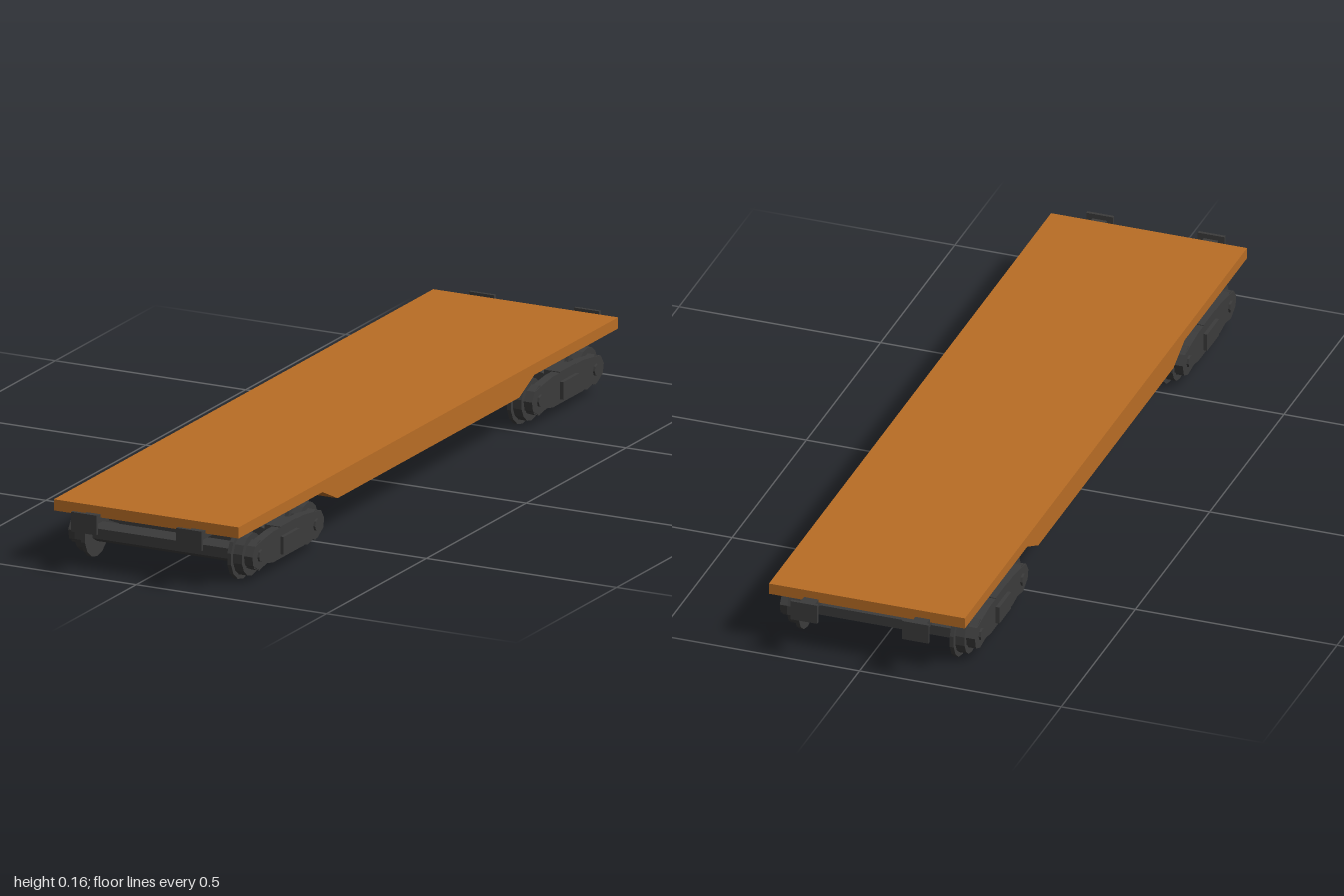
import * as THREE from 'three';

const wood = new THREE.MeshStandardMaterial({ color: 0xb96d25, side: THREE.DoubleSide });
wood.name = 'brownDeck';
const iron = new THREE.MeshStandardMaterial({ color: 0x3c3c3c, flatShading: true });
iron.name = 'darkIron';

function add(parent, name, geometry, material, x = 0, y = 0, z = 0) {
  const mesh = new THREE.Mesh(geometry, material);
  mesh.name = name;
  mesh.position.set(x, y, z);
  parent.add(mesh);
  return mesh;
}

const box = (w, h, d) => new THREE.BoxGeometry(w, h, d);

// Cylinder lying along x, with a corner at the top
const roller = (radius, length, sides) =>
  new THREE.CylinderGeometry(radius, radius, length, sides).rotateZ(Math.PI / 2).rotateX(Math.PI / 2);

// Outline extruded to a depth centred on zero
function slab(points, depth) {
  const shape = new THREE.Shape(points.map(([a, b]) => new THREE.Vector2(a, b)));
  return new THREE.ExtrudeGeometry(shape, { depth, bevelEnabled: false }).translate(0, 0, -depth / 2);
}

// Deck: solid ends, with a hollow, open-bottomed middle between the bogies
function createDeck() {
  const deck = new THREE.Group();
  deck.name = 'deck';
  add(deck, 'deckBoard', box(0.486, 0.004, 1.9), wood, 0, 0.158);
  const skirt = slab([
    [-0.53, 0.156], [-0.53, 0.133], [-0.455, 0.098], [0.455, 0.098], [0.53, 0.133], [0.53, 0.156],
  ], 0.003).rotateY(Math.PI / 2);
  const plate = slab([[0.455, 0.098], [0.53, 0.133], [0.526, 0.135], [0.451, 0.1]], 0.48).rotateY(-Math.PI / 2);
  for (const s of [-1, 1]) {
    add(deck, 'sideSkirt', skirt, wood, s * 0.2415);
    add(deck, 'deckEnd', box(0.486, 0.023, 0.42), wood, 0, 0.1445, s * 0.74);
    // Sloping plate closes each end of the skirts
    add(deck, 'slopedEndPlate', plate, wood).rotation.y = s < 0 ? Math.PI : 0;
  }
  return deck;
}

// Square-headed buffer on a short shank
function createBuffer(x, s) {
  const buffer = new THREE.Group();
  buffer.name = 'buffer';
  add(buffer, 'bufferHead', box(0.066, 0.048, 0.008), iron, x, 0.129, s * 0.996);
  add(buffer, 'bufferShank', box(0.036, 0.02, 0.095), iron, x, 0.131, s * 0.945);
  return buffer;
}

function createBogie(z) {
  const bogie = new THREE.Group();
  bogie.name = 'bogie';
  bogie.position.z = z;

  // Tapered cross beam
  add(bogie, 'bolster', slab([
    [-0.225, 0.06], [-0.1, 0.042], [0.1, 0.042], [0.225, 0.06],
    [0.225, 0.088], [0.1, 0.122], [-0.1, 0.122], [-0.225, 0.088],
  ], 0.08), iron);

  // Wheelsets
  for (const a of [-0.14, 0.14]) {
    add(bogie, 'axle', roller(0.025, 0.39, 6), iron, 0, 0.062, a);
    for (const s of [-1, 1]) {
      add(bogie, 'wheelFlange', roller(0.062, 0.01, 14), iron, s * 0.192, 0.062, a);
      add(bogie, 'wheelTread', roller(0.051, 0.023, 14), iron, s * 0.2085, 0.062, a);
    }
  }

  // Side frames with rounded axle ends
  const frame = slab([
    [-0.175, 0.045], [-0.145, 0.028], [-0.105, 0.034], [-0.075, 0.028], [0.075, 0.028], [0.105, 0.034],
    [0.145, 0.028], [0.175, 0.045], [0.18, 0.068], [0.165, 0.09], [0.13, 0.096], [0.075, 0.103],
    [-0.075, 0.103], [-0.13, 0.096], [-0.165, 0.09], [-0.18, 0.068],
  ], 0.022).rotateY(Math.PI / 2);
  for (const s of [-1, 1]) {
    add(bogie, 'sideFrame', frame, iron, s * 0.231);
    add(bogie, 'springPlate', box(0.01, 0.043, 0.08), iron, s * 0.246, 0.06, 0);
    add(bogie, 'springCap', box(0.042, 0.02, 0.08), iron, s * 0.221, 0.095, 0);
    for (const a of [-0.14, 0.14]) {
      add(bogie, 'axleCap', roller(0.015, 0.008, 8), iron, s * 0.243, 0.062, a);
      add(bogie, 'axleHousing', roller(0.037, 0.022, 8), iron, s * 0.229, 0.062, a);
    }
  }
  return bogie;
}

export function createModel() {
  const model = new THREE.Group();
  model.name = 'flatWagon';
  model.add(createDeck());
  for (const s of [-1, 1]) {
    model.add(createBogie(s * 0.7));
    for (const x of [-0.138, 0.138]) model.add(createBuffer(x, s));
  }
  return model;
}
